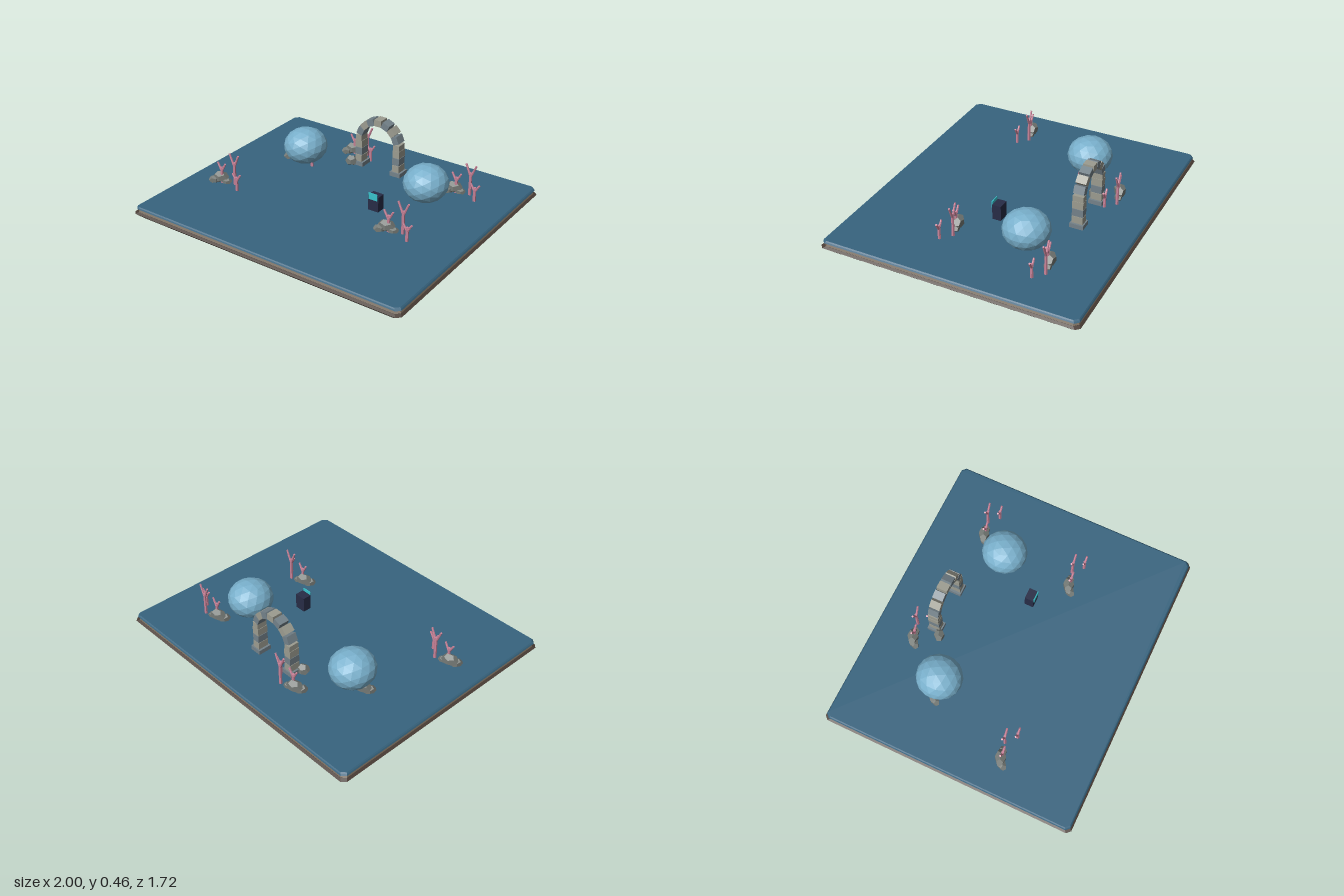
import * as THREE from 'three';

const GROUND = 0.085;
const mat = (color) => new THREE.MeshStandardMaterial({ color, flatShading: true });
const M = {
  earth: mat(0x4a3d35), sand: mat(0x75695a), sea: mat(0x37647f),
  boulder: mat(0x78afcb), stoneA: mat(0x9c9c90), stoneB: mat(0x74828a),
  rock: mat(0x777c78), coral: mat(0xc98399), navy: mat(0x272c46), teal: mat(0x38c3cc),
};

function add(parent, name, geometry, material, x = 0, y = 0, z = 0) {
  const mesh = new THREE.Mesh(geometry, material);
  mesh.name = name;
  mesh.position.set(x, y, z);
  parent.add(mesh);
  return mesh;
}

// Stacked rectangular rings with clipped corners; each ring is [y, half width, half depth]
function slab(rings, clip = 0.025) {
  const pos = [], idx = [];
  for (const [y, w, d] of rings) {
    const c = clip;
    for (const [x, z] of [[w, d - c], [w - c, d], [c - w, d], [-w, d - c],
      [-w, c - d], [c - w, -d], [w - c, -d], [w, c - d]]) pos.push(x, y, z);
  }
  const n = 8, top = (rings.length - 1) * n;
  for (let r = 0; r < rings.length - 1; r++) {
    for (let i = 0; i < n; i++) {
      const a = r * n + i, b = r * n + (i + 1) % n;
      idx.push(a, a + n, b, b, a + n, b + n);
    }
  }
  for (let i = 1; i < n - 1; i++) {
    idx.push(0, i, i + 1);
    idx.push(top, top + i + 1, top + i);
  }
  const g = new THREE.BufferGeometry();
  g.setAttribute('position', new THREE.Float32BufferAttribute(pos, 3));
  g.setIndex(idx);
  const flat = g.toNonIndexed();
  flat.computeVertexNormals();
  return flat;
}

// Cylinder between two points
function rod(parent, name, a, b, r) {
  const from = new THREE.Vector3(...a), dir = new THREE.Vector3(...b).sub(from);
  const mesh = add(parent, name, new THREE.CylinderGeometry(r * 0.85, r, dir.length(), 6), M.coral);
  mesh.position.copy(from).addScaledVector(dir, 0.5);
  mesh.quaternion.setFromUnitVectors(new THREE.Vector3(0, 1, 0), dir.normalize());
}

function coral(parent, x, z, h) {
  const g = new THREE.Group();
  g.name = 'coral';
  g.position.set(x, 0, z);
  const fork = h * 0.64, spread = 0.024 + h * 0.06;
  rod(g, 'coralTrunk', [0, 0, 0], [0, fork + 0.02, 0], 0.011);
  for (const s of [-1, 1]) rod(g, 'coralBranch', [0, fork - 0.01, 0], [s * spread, h - 0.002, 0], 0.008);
  parent.add(g);
}

function rock(parent, x, y, z, rx, ry, rz, turn = 0) {
  const mesh = add(parent, 'rock', new THREE.DodecahedronGeometry(1, 0), M.rock, x, y, z);
  mesh.scale.set(rx, ry, rz);
  mesh.rotation.y = turn;
}

// Rock pile with three corals
function reef(parent, x, z) {
  const g = new THREE.Group();
  g.name = 'reefCluster';
  g.position.set(x, GROUND, z);
  rock(g, -0.018, 0.034, -0.006, 0.058, 0.042, 0.038, 0.3);
  rock(g, -0.05, 0.016, 0.016, 0.044, 0.03, 0.03, 0.9);
  rock(g, 0.028, 0.012, -0.012, 0.036, 0.022, 0.026, 0.5);
  coral(g, 0, 0, 0.145);
  coral(g, 0.087, -0.027, 0.217);
  coral(g, 0.152, 0.032, 0.12);
  parent.add(g);
}

export function createModel() {
  const model = new THREE.Group();
  model.name = 'underwaterIsland';

  // Layered base
  add(model, 'earthLayer', slab([[0, 0.96, 0.82], [0.038, 1, 0.86], [0.048, 0.985, 0.845]]), M.earth);
  add(model, 'sandLayer', slab([[0.046, 0.985, 0.845], [0.064, 0.975, 0.835]]), M.sand);
  add(model, 'seaFloor', slab([[0.062, 0.975, 0.835], [0.071, 0.99, 0.85], [0.079, 0.985, 0.846], [GROUND, 0.978, 0.84]]), M.sea);

  // Faceted boulders
  for (const s of [-1, 1]) {
    const b = add(model, 'roundBoulder', new THREE.IcosahedronGeometry(1, 2), M.boulder, s * 0.477, 0.207, -0.285);
    b.scale.set(0.148, 0.124, 0.152);
  }

  // Stone arch
  const arch = new THREE.Group();
  arch.name = 'stoneArch';
  arch.position.set(0, 0, -0.48);
  model.add(arch);
  const R = 0.148, springY = 0.285;
  for (const s of [-1, 1]) {
    add(arch, 'archPlinth', new THREE.BoxGeometry(0.08, 0.03, 0.092), M.stoneB, s * R, GROUND + 0.015, 0);
    for (let i = 0; i < 3; i++) {
      add(arch, 'pillarStone', new THREE.BoxGeometry(0.052, 0.051, 0.074),
        i % 2 ? M.stoneB : M.stoneA, s * R, 0.138 + i * 0.054, 0);
    }
  }
  for (let i = 0; i <= 8; i++) {
    const a = (i / 8) * Math.PI;
    const stone = add(arch, 'archStone', new THREE.BoxGeometry(0.046, 0.053, 0.072),
      i % 2 ? M.stoneB : M.stoneA, Math.cos(a) * R, springY + Math.sin(a) * R, 0);
    stone.rotation.z = a;
  }
  rock(model, -0.2, GROUND + 0.024, -0.435, 0.044, 0.04, 0.036, 0.4);

  // Small kiosk with a bright panel
  add(model, 'kioskBody', new THREE.BoxGeometry(0.076, 0.104, 0.06), M.navy, 0.283, GROUND + 0.052, 0);
  add(model, 'kioskScreen', new THREE.BoxGeometry(0.066, 0.045, 0.006), M.teal, 0.283, 0.187, 0.033);

  // Reef clusters
  for (const [x, z] of [[-0.267, -0.575], [0.59, -0.48], [-0.743, 0.283], [0.497, 0.187], [-0.55, -0.28]]) {
    reef(model, x, z);
  }
  return model;
}
